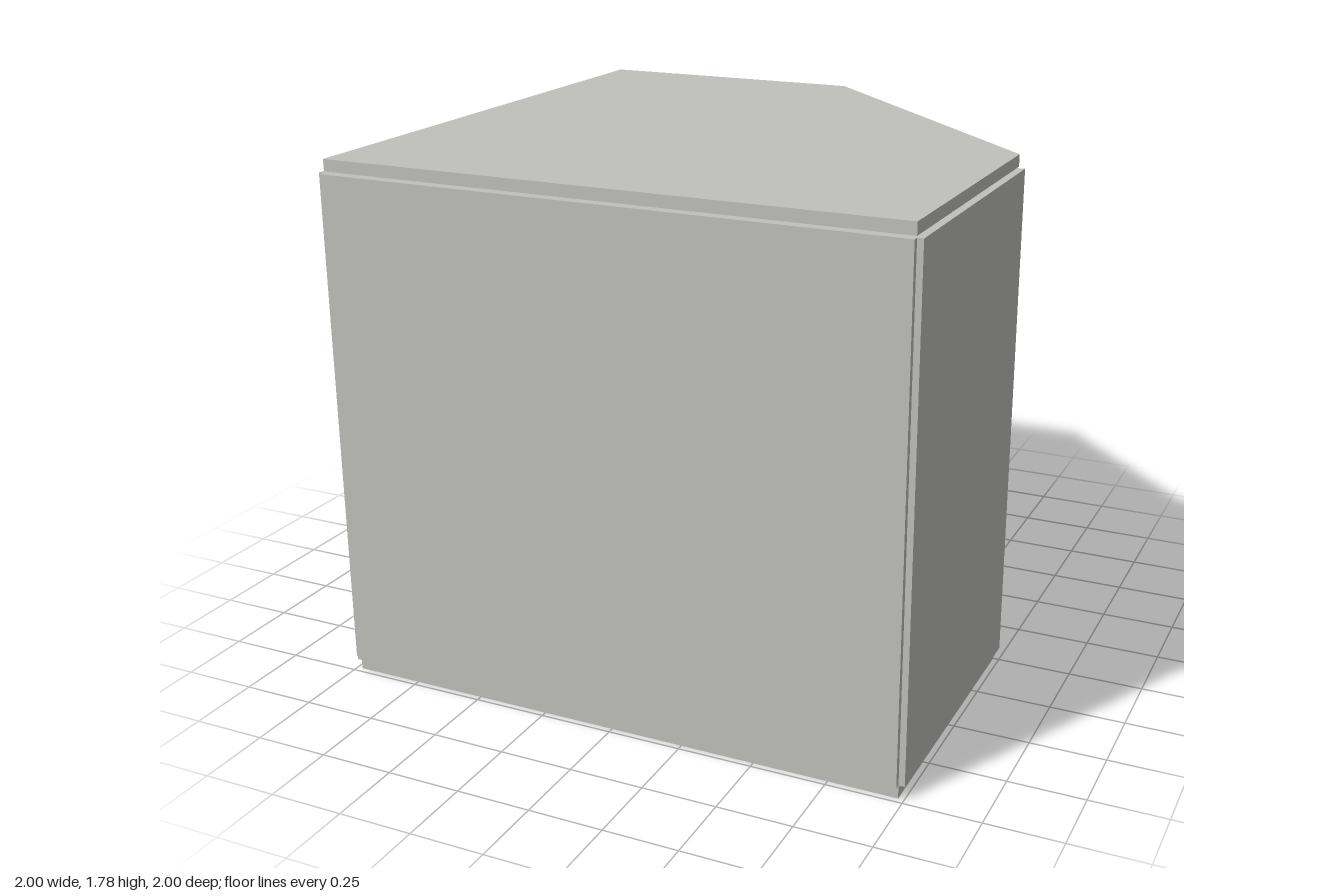
import * as THREE from 'three';

export function createModel() {
  const group = new THREE.Group();
  const paint = new THREE.MeshStandardMaterial({ color: 0xc0c0bc });
  paint.name = 'warm grey board';

  const T = 0.04;               // board thickness
  const IN = 0.98;              // horizontal boards sit slightly inside the walls
  const Y0 = 0.045, Y1 = 1.74;  // wall bottom and top

  const add = (name, geometry) => {
    const mesh = new THREE.Mesh(geometry, paint);
    mesh.name = name;
    group.add(mesh);
  };

  // Horizontal five-sided boards with the diagonal opening at the back
  const outline = new THREE.Shape(
    [[-IN, -IN], [0, -IN], [IN, 0], [IN, IN], [-IN, IN]].map(([x, z]) => new THREE.Vector2(x, z))
  );
  const boards = { bottomBoard: T, middleShelf: 0.915, topBoard: 1.785 };
  for (const [name, top] of Object.entries(boards)) {
    const g = new THREE.ExtrudeGeometry(outline, { depth: T, bevelEnabled: false });
    g.rotateX(Math.PI / 2);
    g.translate(0, top, 0);
    add(name, g);
  }

  // Upright walls, given by their extents in x and z
  const walls = {
    frontWall: [-IN, IN, 1 - T, 1],
    backWall: [-IN, 0, -1, -1 + T],
    rightWall: [-1, -1 + T, -IN, IN],
    leftWall: [1 - T, 1, 0, IN],
  };
  for (const [name, [x0, x1, z0, z1]] of Object.entries(walls)) {
    const g = new THREE.BoxGeometry(x1 - x0, Y1 - Y0, z1 - z0);
    g.translate((x0 + x1) / 2, (Y0 + Y1) / 2, (z0 + z1) / 2);
    add(name, g);
  }
  return group;
}
